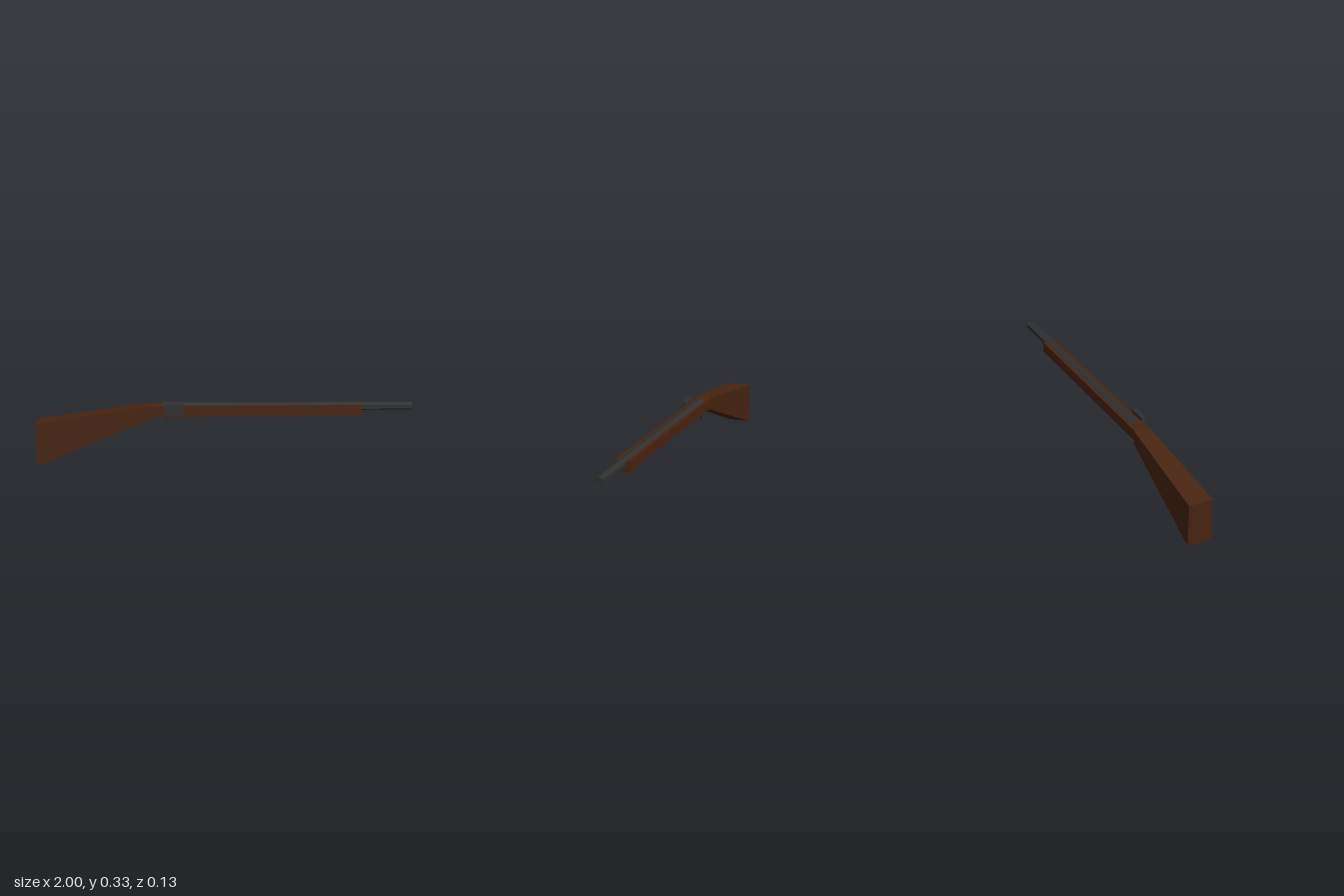
import * as THREE from 'three';

export function createModel() {
  const model = new THREE.Group();
  const mat = (name, color) => {
    const m = new THREE.MeshStandardMaterial({ color });
    m.name = name;
    return m;
  };
  const wood = mat('walnut', 0x482410);
  const steel = mat('dark steel', 0x2f3030);

  const add = (name, geometry, material) => {
    const mesh = new THREE.Mesh(geometry, material);
    mesh.name = name;
    model.add(mesh);
    return mesh;
  };

  // Box between two rectangular ends along x, each given as { x, y0, y1, halfZ }
  const taperedBox = (a, b) => {
    const g = new THREE.BoxGeometry(1, 1, 1).toNonIndexed();
    const p = g.attributes.position;
    for (let i = 0; i < p.count; i++) {
      const end = p.getX(i) < 0 ? a : b;
      p.setXYZ(i, end.x, p.getY(i) < 0 ? end.y0 : end.y1, Math.sign(p.getZ(i)) * end.halfZ);
    }
    g.computeVertexNormals();
    return g;
  };

  // Shoulder stock, flaring towards the butt
  add('buttStock', taperedBox(
    { x: -1, y0: 0, y1: 0.23, halfZ: 0.065 },
    { x: -0.4, y0: 0.245, y1: 0.319, halfZ: 0.043 }), wood);

  // Long straight fore-end
  add('foreEnd', taperedBox(
    { x: -0.4, y0: 0.26, y1: 0.318, halfZ: 0.039 },
    { x: 0.73, y0: 0.26, y1: 0.318, halfZ: 0.039 }), wood);

  // Six-sided barrel, slightly tapered and flattened, with a ridge on top
  const barrelGeometry = new THREE.CylinderGeometry(0.0265, 0.0288, 1.33, 6, 1, false, Math.PI / 2)
    .rotateZ(-Math.PI / 2)
    .scale(1, 0.78, 1)
    .toNonIndexed();
  barrelGeometry.computeVertexNormals();
  add('barrel', barrelGeometry, steel).position.set(0.335, 0.306, 0);

  // Lock plate on the front side
  add('lockPlate', new THREE.BoxGeometry(0.106, 0.06, 0.026), steel).position.set(-0.268, 0.303, 0.054);

  // Slanted trigger below the lock
  const trigger = add('trigger', new THREE.BoxGeometry(0.01, 0.078, 0.016), steel);
  trigger.position.set(-0.339, 0.237, 0);
  trigger.rotation.z = -0.22;

  return model;
}
